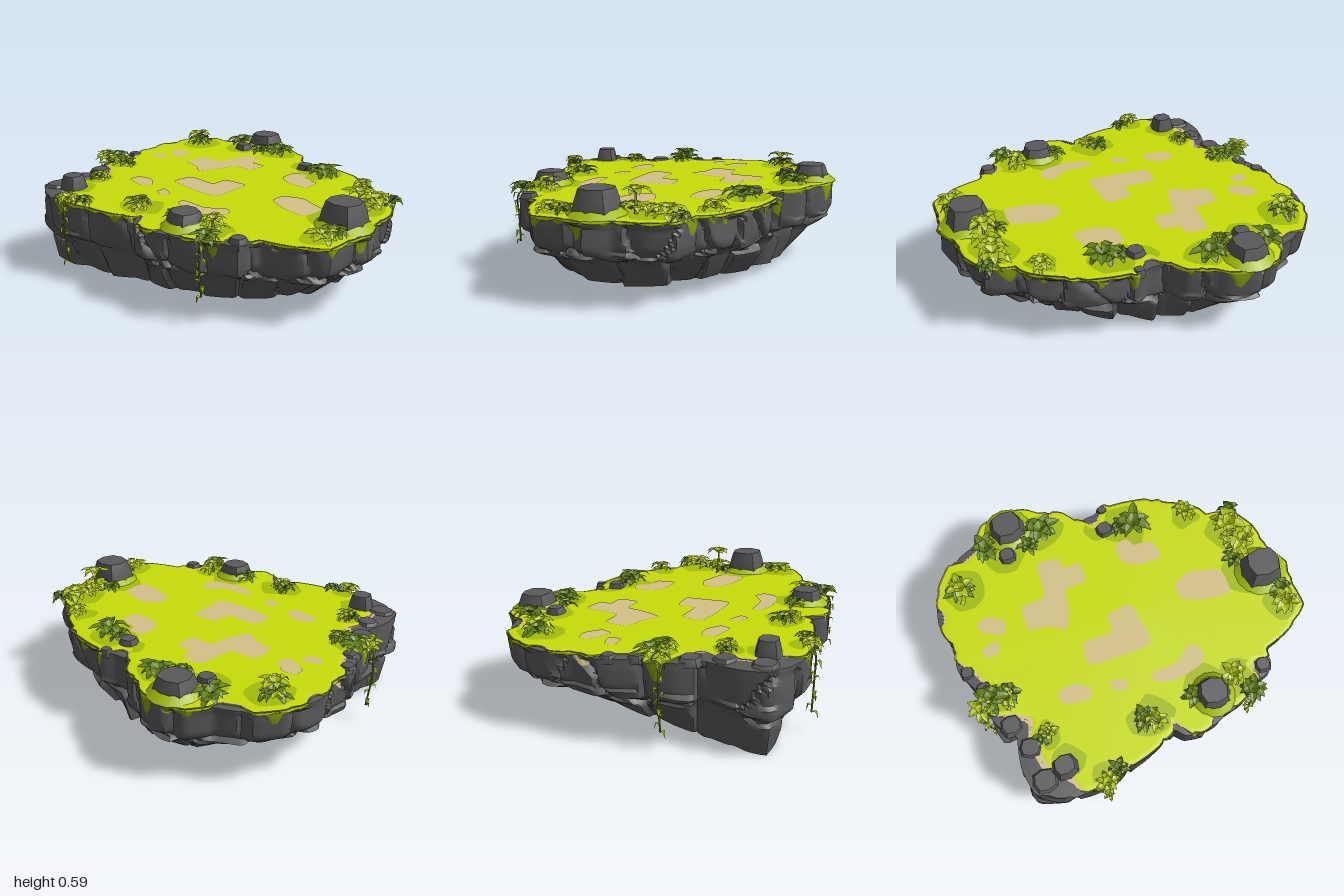
import * as THREE from 'three';
import { toCreasedNormals, mergeGeometries } from 'three/addons/utils/BufferGeometryUtils.js';

const mat = (name, color, side = THREE.FrontSide) => {
  const m = new THREE.MeshStandardMaterial({ color, side });
  m.name = name;
  return m;
};
let seed = 11;
const rnd = (a = 0, b = 1) => {
  seed = (seed * 16807) % 2147483647;
  return a + (b - a) * (seed / 2147483647);
};
const clamp = THREE.MathUtils.clamp, lerp = THREE.MathUtils.lerp, TAU = Math.PI * 2;
const TOP = 0.45, COLS = 300;

// outlines as x, z pairs
const rimPts = [-.47, -.87, -.32, -.84, -.26, -.79, -.13, -.75, -.07, -.67, .05, -.67, .11, -.71, .3, -.68, .49, -.61, .62, -.53,
  .68, -.45, .83, -.41, .9, -.29, .92, -.13, 1, 0, .96, .13, .97, .27, .86, .37, .68, .44, .65, .56, .54, .61, .35, .7, .17, .76,
  .07, .74, .03, .69, -.07, .74, -.24, .79, -.4, .83, -.64, .84, -.77, .76, -.8, .61, -.78, .45, -.86, .33, -.9, .13, -.97, -.02,
  -.96, -.16, -1, -.32, -.98, -.46, -.85, -.64, -.68, -.72, -.6, -.83];
const basePts = [-.72, .73, -.45, .7, -.1, .62, .25, .56, .5, .42, .66, .2, .71, -.03, .6, -.27, .4, -.43, .1, -.55, -.2, -.62,
  -.38, -.58, -.52, -.44, -.6, -.2, -.64, .1, -.7, .45];

// turns an outline into a radius by angle
function polar(flat) {
  const p = [];
  for (let i = 0; i < flat.length; i += 2) p.push([(Math.atan2(flat[i + 1], flat[i]) + TAU) % TAU, Math.hypot(flat[i], flat[i + 1])]);
  p.sort((a, b) => a[0] - b[0]);
  const n = p.length;
  p.push([p[0][0] + TAU, p[0][1]]);
  p.unshift([p[n - 1][0] - TAU, p[n - 1][1]]);
  return (a) => {
    a = ((a % TAU) + TAU) % TAU;
    let i = 1;
    while (p[i][0] < a) i++;
    return lerp(p[i - 1][1], p[i][1], (a - p[i - 1][0]) / (p[i][0] - p[i - 1][0]));
  };
}
const rimR = polar(rimPts), baseR = polar(basePts);

// boulder cells in two uneven courses around the cliff
const cells = [];
for (const [n, t] of [[25, 0.24], [22, 0.76]])
  for (let i = 0; i < n; i++)
    cells.push({ a: ((i + rnd(-0.35, 0.35)) / n) * TAU, t: t + rnd(-0.17, 0.17), d: rnd(-0.015, 0.025), sx: rnd(-0.22, 0.22), sy: rnd(-0.2, 0.2) });

function boulder(a, t) {
  let d1 = 9, d2 = 9, near, u = 0, v = 0;
  for (const c of cells) {
    const x = 0.85 * Math.atan2(Math.sin(a - c.a), Math.cos(a - c.a)), y = 0.42 * (t - c.t);
    const d = Math.cbrt(Math.abs(x) ** 3 + Math.abs(y) ** 3);
    if (d < d1) { d2 = d1; d1 = d; near = c; u = x; v = y; } else if (d < d2) d2 = d;
  }
  const groove = (1 - clamp((d2 - d1) / 0.06, 0, 1)) ** 2;
  return lerp(near.d + near.sx * u + near.sy * v, -0.035, groove);
}
const profile = [[0, 0], [0.35, 0.03], [0.5, 0.13], [0.61, 0.48], [0.7, 0.58], [0.9, 0.85], [1, 1]];
const undersideY = (x, z) => Math.max(0, 0.07 - 0.085 * clamp(1 - Math.hypot(x + 0.72, z - 0.73), 0, 1)
  - 0.09 * clamp(-z - 0.2, 0, 1) * clamp(0.6 - x, 0, 1));
const at = (a, r, y) => new THREE.Vector3(r * Math.cos(a), y, r * Math.sin(a));

// point on the cliff: t runs from the rim (0) to the foot (1)
function cliff(a, t, out = 0) {
  let i = 1;
  while (i < profile.length - 1 && profile[i][0] < t) i++;
  const [t0, p0] = profile[i - 1], [t1, p1] = profile[i];
  const bulge = boulder(a, t);
  const r = lerp(rimR(a), baseR(a), lerp(p0, p1, (t - t0) / (t1 - t0))) + (t < 0.4 ? Math.min(bulge, 0.004) * (t < 0.05 ? 0.4 : 1) : bulge) + out;
  const b = at(a, baseR(a), 0);
  return at(a, r, lerp(TOP - 0.008, undersideY(b.x, b.z), t));
}

// closed loft through rings given as functions of angle
function loft(rings) {
  const pos = [], idx = [];
  for (const f of rings) for (let i = 0; i < COLS; i++) pos.push(...f((i / COLS) * TAU).toArray());
  for (let j = 0; j < rings.length - 1; j++)
    for (let i = 0; i < COLS; i++) {
      const k = (i + 1) % COLS, a = j * COLS + i, b = j * COLS + k, c = a + COLS, d = b + COLS;
      idx.push(a, b, c, b, d, c);
    }
  const g = new THREE.BufferGeometry();
  g.setAttribute('position', new THREE.Float32BufferAttribute(pos, 3));
  g.setIndex(idx);
  g.computeVertexNormals();
  return g;
}

// places where the turf draws back: x, z, angular width, depth
const bare = [[-.72, .7, .2, .16], [-.78, .42, .15, .13], [-.93, .06, .12, .08], [.03, -.68, .08, .07], [.63, .55, .07, .11],
  [.06, .73, .05, .07], [-.75, -.69, .08, .06], [-.98, -.35, .05, .05], [.3, .7, .1, .06]];
function inset(a) {
  let s = 0.008;
  for (const [x, z, w, d] of bare) {
    const c = Math.atan2(z, x), e = Math.atan2(Math.sin(a - c), Math.cos(a - c)) / w;
    s = Math.max(s, d * Math.exp(-(e ** 4)));
  }
  return s;
}
const edgeR = (a, k = 1) => { const p = cliff(a, 0); return Math.hypot(p.x, p.z) - inset(a) * k; };

// one folded, drooping leaf pointing along +x
function leaf(len, w, rise, droop) {
  const s = [[0, .15, 0], [.35, 1, rise], [.7, .8, rise * 0.9], [1, 0, rise - droop]];
  const pos = [], idx = [];
  for (const [k, ww, y] of s) pos.push(k * len, y + w * ww * .3, -w * ww, k * len, y, 0, k * len, y + w * ww * .3, w * ww);
  for (let i = 0; i < 3; i++) for (const o of [0, 1]) {
    const a = i * 3 + o;
    idx.push(a, a + 1, a + 3, a + 1, a + 4, a + 3);
  }
  const g = new THREE.BufferGeometry();
  g.setAttribute('position', new THREE.Float32BufferAttribute(pos, 3));
  g.setIndex(idx);
  const flat = g.toNonIndexed();
  flat.computeVertexNormals();
  return flat;
}

export function createModel() {
  seed = 77;
  const group = new THREE.Group();
  const rockMat = mat('dark rock', 0x5a5a5c), turfMat = mat('bright turf', 0xc8dd08), sandMat = mat('sand', 0xd4c288, THREE.DoubleSide);
  const mossMat = mat('moss', 0xa4bc0c, THREE.DoubleSide), dripMat = mat('hanging moss', 0x86a010, THREE.DoubleSide);
  const fernMat = mat('fern green', 0x64801a, THREE.DoubleSide), bushMat = mat('bush green', 0xabc018, THREE.DoubleSide);
  const add = (name, geo, m) => {
    const o = new THREE.Mesh(geo, m);
    o.name = name;
    group.add(o);
  };

  // cliff body: top cap, stone courses and underside in one loft
  const rings = [(a) => at(a, 0, TOP - 0.01), (a) => at(a, edgeR(a, 0) * 0.94, TOP - 0.004)];
  for (let i = 0; i <= 24; i++) rings.push((a) => cliff(a, i / 24));
  rings.push((a) => { const p = cliff(a, 1); return at(a, baseR(a) * 0.6, lerp(p.y, 0.065, 0.6)); }, (a) => at(a, 0, 0.065));
  add('cliff', toCreasedNormals(loft(rings), 0.6), rockMat);

  // sandy border and turf on the flat top
  add('sandBorder', loft([(a) => at(a, 0, TOP - 0.002), (a) => at(a, edgeR(a, 0.7), TOP - 0.001)]), sandMat);
  add('turf', loft([(a) => at(a, 0, TOP + 0.004), (a) => at(a, edgeR(a) * 0.97, TOP + 0.004), (a) => at(a, edgeR(a) + 0.004, TOP)]), turfMat);

  // ragged skirts hanging over the rim
  const skirt = (length, out) => loft([0, 0.33, 0.67, 1].map((k) => (a) => {
    const t = length(a) * k / 0.4, p = cliff(a, t, out * (k < 1 ? 1 : 0.2) - inset(a) * 0.9);
    p.y += 0.008;
    return p;
  }));
  const grow = (a) => clamp(1 - (inset(a) - 0.01) / 0.03, 0, 1);
  add('turfLip', skirt((a) => 0.008 + 0.016 * Math.abs(Math.sin(a * 23)) * grow(a), 0.014), turfMat);
  add('mossDrips', skirt((a) => 0.01 + grow(a) * 0.095 * Math.max(0, Math.sin(a * 9 + 1) * 0.5 + Math.sin(a * 31) * 0.45 + Math.sin(a * 53) * 0.4), 0.011), dripMat);
  add('sandDrips', skirt((a) => 0.01 + grow(a) * 0.085 * Math.max(0, Math.sin(a * 7 + 4) + 0.3 * Math.sin(a * 41) - 0.55), 0.008), sandMat);

  // thin plates lying on the turf, kept inside its edge
  const plate = (name, pts, y, m) => {
    const curve = new THREE.CatmullRomCurve3(pts.map(([x, z]) => new THREE.Vector3(x, 0, z)), true, 'catmullrom', 0.3);
    const s = new THREE.Shape(curve.getPoints(48).map((p) => {
      const a = Math.atan2(p.z, p.x), r = Math.min(Math.hypot(p.x, p.z), edgeR(a) * 0.97);
      return new THREE.Vector2(r * Math.cos(a), -r * Math.sin(a));
    }));
    add(name, new THREE.ShapeGeometry(s).rotateX(-Math.PI / 2).translate(0, y, 0), m);
  };
  const patches = [
    [-.37, -.47, -.25, -.47, -.23, -.4, -.14, -.4, -.14, -.28, -.26, -.27, -.28, -.16, -.33, -.04, -.42, -.09, -.53, -.11, -.53, -.25, -.39, -.27],
    [.09, -.43, .17, -.45, .2, -.4, .3, -.39, .32, -.28, .19, -.27, .1, -.32], [-.79, -.24, -.72, -.26, -.64, -.2, -.67, -.13, -.78, -.18],
    [-.81, -.08, -.72, -.11, -.72, -.04, -.8, -.03], [.33, -.08, .43, -.13, .52, -.11, .61, -.08, .61, .06, .47, .06, .34, .01],
    [-.09, -.04, .05, -.06, .07, .05, .07, .2, -.27, .2, -.27, .07, -.1, .06], [-.49, .29, -.4, .27, -.32, .32, -.34, .38, -.48, .36],
    [-.21, .32, -.12, .35, -.14, .4, -.2, .38], [.02, .36, .17, .35, .27, .28, .33, .32, .3, .4, .14, .44, .02, .41]];
  for (const p of patches) plate('sandPatch', p.flatMap((v, i) => (i % 2 ? [] : [[v, p[i + 1]]])), TOP + 0.007, sandMat);
  const shade = (x, z, r) => plate('mossPatch', Array.from({ length: 9 }, (_, i) => {
    const q = r * rnd(0.8, 1.2), a = (i / 9) * TAU;
    return [x + q * Math.cos(a), z + q * Math.sin(a)];
  }), TOP + 0.0055, mossMat);
  for (const [x, z, r] of [[-.8, -.46, .14], [-.52, -.62, .12], [-.26, -.67, .12], [.2, -.54, .14], [.02, -.56, .07], [.55, -.49, .09],
    [.74, -.28, .13], [.78, -.02, .15], [.86, .22, .1], [.28, .55, .13], [.45, .55, .11], [-.07, .59, .12], [-.62, .49, .08], [-.8, .22, .11],
    [-.4, .8, .08], [-.56, .66, .09]]) shade(x, z, r);

  // loose stones with blunt square outlines: x, z, width, top height; the large ones sit in moss mounds
  for (const [x, z, w, top] of [[-.46, -.74, .2, .54], [-.51, -.58, .1, .49], [.07, -.55, .1, .485], [.82, 0, .22, .58], [.29, .58, .18, .53],
    [.61, .52, .09, .47], [-.58, .68, .13, .53], [-.72, .52, .12, .462], [-.78, .37, .12, .458], [-.92, .01, .08, .458], [-.7, .71, .14, .46],
    [-.86, .13, .09, .458], [.1, -.68, .06, .462]]) {
    const h = top - 0.42, g = new THREE.CylinderGeometry(w * 0.4, w * 0.56, h, 8, 3);
    const p = g.attributes.position, spin = rnd(-0.3, 0.3);
    for (let i = 0; i < p.count; i++) {
      const a = Math.atan2(p.getZ(i), p.getX(i)), k = 1 + 0.1 * Math.abs(Math.sin(a * 2)) + (Math.abs(p.getY(i)) < h * 0.3 ? 0.06 : 0);
      p.setXYZ(i, p.getX(i) * k, p.getY(i), p.getZ(i) * k * 0.95);
    }
    g.rotateY(spin).translate(x, 0.42 + h / 2, z);
    add('stone', toCreasedNormals(g, 0.7), rockMat);
    if (w > 0.17) add('mossMound', new THREE.CylinderGeometry(w * 0.5, w * 0.72, 0.035, 14, 1, true).translate(x, TOP + 0.016, z), mossMat);
  }

  // tufts: rosettes of leaves, x, z, radius, height of the crown
  const tuft = (name, x, z, r, h, m, n) => {
    const parts = [];
    for (let i = 0; i < n; i++) {
      const low = i % 2;
      parts.push(leaf(r * rnd(0.7, 1.15), r * 0.25, low ? 0.012 : 0.028, rnd(0.005, 0.035))
        .rotateY((i / n) * TAU + rnd(-0.35, 0.35)).translate(0, low ? h * 0.35 : h, 0));
    }
    if (h > 0.03) parts.push(new THREE.CylinderGeometry(0.006, 0.009, h, 5).toNonIndexed().translate(0, h / 2, 0));
    parts.forEach((g) => g.deleteAttribute('uv'));
    add(name, mergeGeometries(parts).translate(x, TOP + 0.004, z), m);
  };
  for (const [x, z, r, h] of [[-.62, -.67, .1, .015], [-.28, -.68, .11, .015], [-.38, -.6, .07, .01], [.24, -.53, .11, .025], [.16, -.54, .07, .01],
    [.2, .56, .08, .015], [.5, .63, .08, .01], [-.1, .58, .08, .01], [-.32, .78, .06, .005], [-.84, .2, .1, .025], [-.74, .2, .08, .015], [.7, -.12, .07, .01],
    [.8, -.42, .07, .01], [.88, .14, .08, .01], [-.64, .49, .06, .005], [-.82, -.47, .1, .015]]) tuft('fern', x, z, r, h, fernMat, 12);
  for (const [x, z, r, h] of [[-.82, -.46, .09, .05], [.76, -.34, .11, .025], [.77, -.18, .09, .1], [.74, -.25, .08, .015], [.55, -.5, .07, .02],
    [.43, .52, .08, .04], [.88, .22, .09, .015], [-.05, .61, .07, .01], [-.9, .24, .08, .025], [-.4, .83, .07, .01], [-.61, .48, .06, .015],
    [-.76, .22, .07, .015]]) tuft('bush', x, z, r, h, bushMat, 14);

  // trailing vines with paired leaves: x, z, lowest height
  for (const [x, z, low] of [[-.91, .27, .1], [-.41, .85, .11], [.49, .66, .16]]) {
    const path = new THREE.CatmullRomCurve3([[.9, TOP + .02], [1, TOP - .02], [1.01, .3], [1, low]].map(([k, y], i) =>
      new THREE.Vector3(x * k + 0.01 * (i % 2), y, z * k)));
    add('vineStem', new THREE.TubeGeometry(path, 16, 0.005, 5), fernMat);
    const parts = [];
    for (let i = 2; i < 16; i++) {
      const p = path.getPoint(i / 15);
      parts.push(leaf(rnd(0.025, 0.04), 0.012, 0.006, 0.035).rotateY(i * 2.4).translate(p.x, p.y, p.z));
    }
    add('vineLeaves', mergeGeometries(parts), bushMat);
  }
  return group;
}
